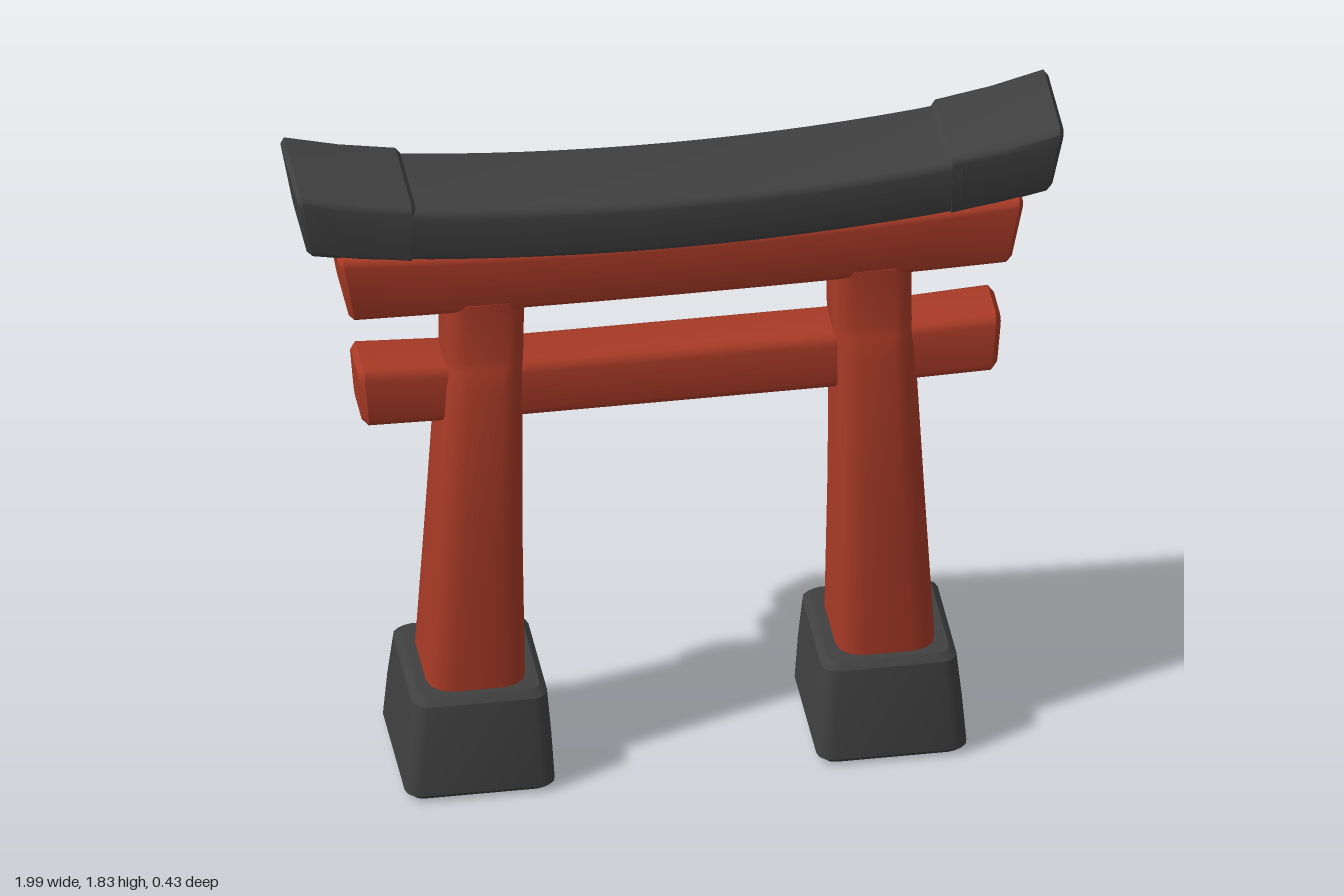
import * as THREE from 'three';
import { toCreasedNormals } from 'three/addons/utils/BufferGeometryUtils.js';

const STEPS = 3; // segments per rounded corner

// Rounded rectangle in (u, v); taper narrows v towards negative u
function ring({ hu, hv, r, taper = 0 }) {
  const pts = [];
  [[1, 1], [-1, 1], [-1, -1], [1, -1]].forEach(([su, sv], q) => {
    for (let i = 0; i <= STEPS; i++) {
      const a = (q + i / STEPS) * Math.PI / 2;
      const u = su * (hu - r) + r * Math.cos(a);
      const v = sv * (hv - r) + r * Math.sin(a);
      pts.push([u, v * (1 + taper * (u / hu - 1) / 2)]);
    }
  });
  return pts;
}

// Skin of sections along x (u = y, v = z) or along y (u = z, v = x), with bevelled ends
function loft(axis, sections, bevel) {
  const shrink = (s, dw) => ({
    ...s, w: s.w + dw, hu: s.hu - bevel, hv: s.hv - bevel, r: Math.max(s.r - bevel * 0.5, 0.005),
  });
  const last = sections[sections.length - 1];
  const all = [
    shrink(sections[0], 0),
    { ...sections[0], w: sections[0].w + bevel },
    ...sections.slice(1, -1),
    { ...last, w: last.w - bevel },
    shrink(last, 0),
  ];
  const place = (w, u, v) => (axis === 'x' ? [w, u, v] : [v, w, u]);
  const pos = [], idx = [];
  const n = 4 * (STEPS + 1);
  for (const s of all) {
    for (const [u, v] of ring(s)) pos.push(...place(s.w + (s.slant || 0) * u, s.cu + u, s.cv + v));
  }
  for (let k = 0; k < all.length - 1; k++) {
    for (let i = 0; i < n; i++) {
      const a = k * n + i, b = k * n + (i + 1) % n;
      idx.push(a, b, b + n, a, b + n, a + n);
    }
  }
  // end faces
  const first = all[0], end = all[all.length - 1], top = (all.length - 1) * n;
  pos.push(...place(first.w, first.cu, first.cv), ...place(end.w, end.cu, end.cv));
  const c0 = all.length * n, c1 = c0 + 1;
  for (let i = 0; i < n; i++) {
    const j = (i + 1) % n;
    idx.push(c0, j, i, c1, top + i, top + j);
  }
  const g = new THREE.BufferGeometry();
  g.setAttribute('position', new THREE.Float32BufferAttribute(pos, 3));
  g.setIndex(idx);
  return toCreasedNormals(g, 0.6);
}

// Beam section from its limits in y and z
const span = (w, y0, y1, z0, z1, r, extra = {}) => ({
  w, cu: (y0 + y1) / 2, hu: (y1 - y0) / 2, cv: (z0 + z1) / 2, hv: (z1 - z0) / 2, r, ...extra,
});
// Post section from its limits in z and x
const level = (y, z0, z1, x0, x1, r) => span(y, z0, z1, x0, x1, r);
const mirrored = (x0, x1, side) => (side > 0 ? [x0, x1] : [-x1, -x0]);

export function createModel() {
  const model = new THREE.Group();
  const red = new THREE.MeshStandardMaterial({ color: 0xa83a26 });
  red.name = 'vermilion';
  const dark = new THREE.MeshStandardMaterial({ color: 0x404040 });
  dark.name = 'charcoal';
  const add = (name, geometry, material) => {
    const mesh = new THREE.Mesh(geometry, material);
    mesh.name = name;
    model.add(mesh);
  };

  // Curved roof beam: rises and drifts backwards towards its ends
  const roof = [];
  for (let i = 0; i <= 16; i++) {
    const x = -0.74 + i * 0.0925, t = (x / 0.74) ** 2;
    roof.push(span(x, 1.578 + 0.03 * t, 1.742 + 0.035 * t, -0.146 - 0.016 * t, 0.143 - 0.015 * t, 0.025, { taper: 0.1 }));
  }
  add('roofBeam', loft('x', roof, 0.01), dark);

  // Upper red beam with slanted ends
  const lintel = [];
  for (let i = 0; i <= 8; i++) {
    const x = -0.875 + i * 0.21875, t = (x / 0.875) ** 2;
    lintel.push(span(x, 1.422 + 0.006 * t, 1.6 + 0.03 * t, -0.125 - 0.013 * t, 0.125 - 0.005 * t, 0.022,
      { taper: 0.13, slant: 0.17 * x / 0.875 }));
  }
  add('upperLintel', loft('x', lintel, 0.012), red);

  // Lower tie beam with slightly raised ends
  const tie = [-0.83, -0.62, -0.4, 0, 0.4, 0.62, 0.83].map((x) => {
    const t = Math.max(0, (Math.abs(x) - 0.4) / 0.43);
    return span(x, 1.073 + 0.017 * t, 1.24 + 0.026 * t, -0.075 + 0.005 * t, 0.085 + 0.013 * t, 0.028,
      { slant: 0.08 * Math.sign(x) * t });
  });
  add('tieBeam', loft('x', tie, 0.015), red);

  for (const side of [1, -1]) {
    const label = side > 0 ? 'left' : 'right';
    // Thicker roof end block
    const end = [
      span(0.69, 1.6, 1.785, -0.168, 0.13, 0.022, { taper: 0.1 }),
      span(0.84, 1.614, 1.804, -0.181, 0.124, 0.025, { taper: 0.12, slant: 0.08 }),
      span(0.982, 1.626, 1.832, -0.196, 0.112, 0.028, { taper: 0.15, slant: 0.17 }),
    ].map((s) => ({ ...s, w: s.w * side, slant: (s.slant || 0) * side }));
    add(label + 'RoofEnd', loft('x', side > 0 ? end : end.reverse(), 0.012), dark);

    // Tapered post, stepping in above the tie beam
    const post = [
      [0.26, -0.152, 0.155, 0.403, 0.662, 0.065],
      [0.75, -0.128, 0.142, 0.408, 0.636, 0.065],
      [1.19, -0.106, 0.13, 0.406, 0.613, 0.06],
      [1.25, -0.094, 0.112, 0.403, 0.608, 0.055],
      [1.27, -0.092, 0.105, 0.402, 0.607, 0.05],
      [1.46, -0.1, 0.11, 0.4, 0.607, 0.05],
    ].map(([y, z0, z1, x0, x1, r]) => level(y, z0, z1, ...mirrored(x0, x1, side), r));
    add(label + 'Post', loft('y', post, 0.01), red);

    // Tapered plinth
    const plinth = [
      [0, -0.216, 0.218, 0.34, 0.73, 0.04],
      [0.15, -0.207, 0.207, 0.347, 0.72, 0.04],
      [0.292, -0.19, 0.192, 0.356, 0.708, 0.04],
    ].map(([y, z0, z1, x0, x1, r]) => level(y, z0, z1, ...mirrored(x0, x1, side), r));
    add(label + 'Plinth', loft('y', plinth, 0.018), dark);
  }
  return model;
}
